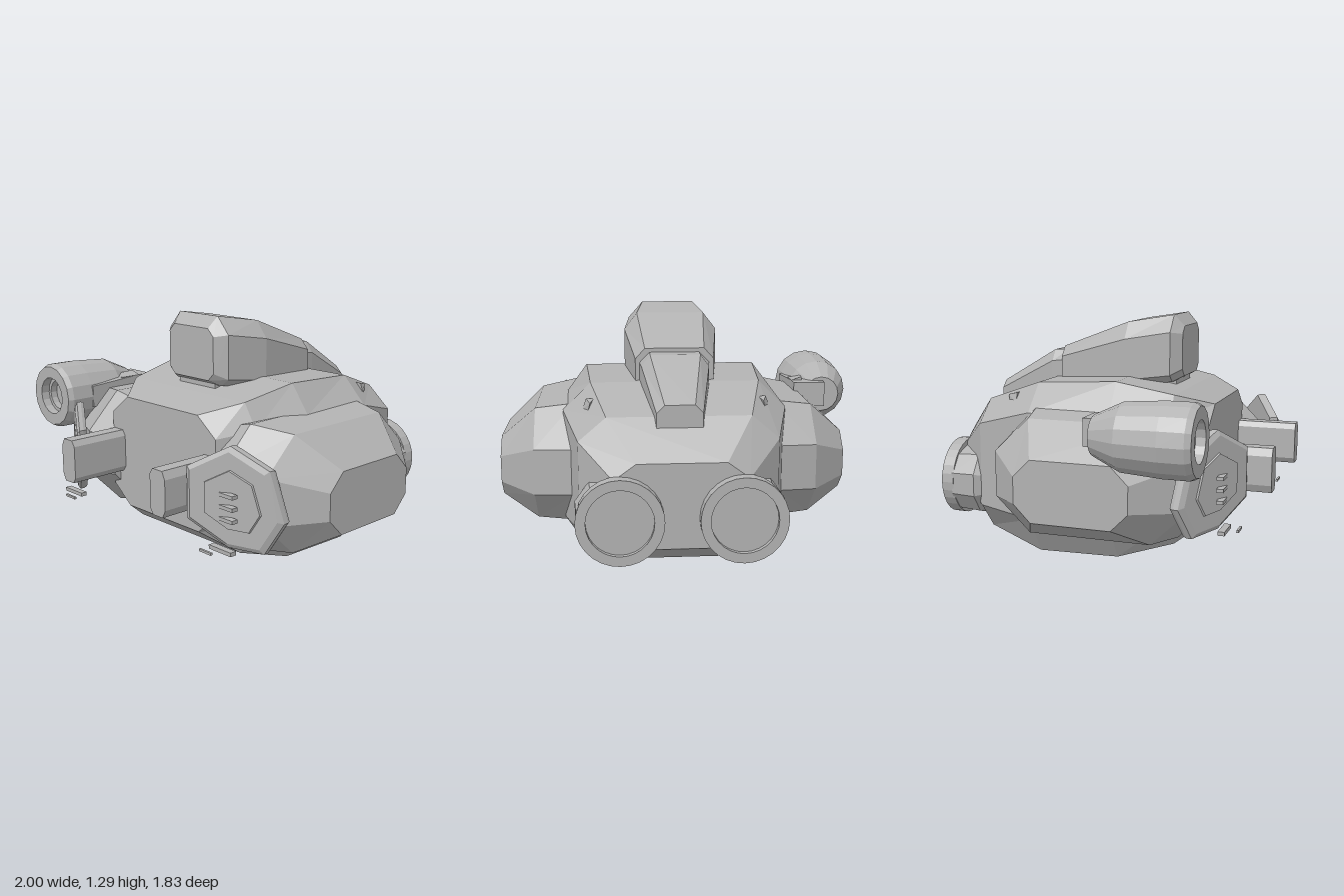
import * as THREE from 'three';

const hull = new THREE.MeshStandardMaterial({ color: 0xb2b2b2 });
hull.name = 'hullGrey';

// Faceted mesh whose closed surface always faces outward
function facet(name, geometry) {
  const g = geometry.index ? geometry.toNonIndexed() : geometry;
  const p = g.attributes.position;
  const a = new THREE.Vector3(), b = new THREE.Vector3(), c = new THREE.Vector3();
  let volume = 0;
  for (let i = 0; i < p.count; i += 3) {
    a.fromBufferAttribute(p, i);
    b.fromBufferAttribute(p, i + 1);
    c.fromBufferAttribute(p, i + 2);
    volume += a.dot(b.cross(c));
  }
  if (volume < 0) {
    for (let i = 0; i < p.count; i += 3) {
      b.fromBufferAttribute(p, i + 1);
      c.fromBufferAttribute(p, i + 2);
      p.setXYZ(i + 1, c.x, c.y, c.z);
      p.setXYZ(i + 2, b.x, b.y, b.z);
    }
  }
  g.computeVertexNormals();
  const mesh = new THREE.Mesh(g, hull);
  mesh.name = name;
  return mesh;
}

// Closed skin through rings of equally many [x, y, z] points
function loft(name, rings) {
  const n = rings[0].length, index = [];
  for (let r = 0; r < rings.length - 1; r++) {
    for (let i = 0; i < n; i++) {
      const a = r * n + i, b = r * n + (i + 1) % n;
      index.push(a, b, b + n, a, b + n, a + n);
    }
  }
  const last = (rings.length - 1) * n;
  for (let i = 1; i < n - 1; i++) {
    index.push(0, i + 1, i, last, last + i, last + i + 1);
  }
  const g = new THREE.BufferGeometry();
  g.setAttribute('position', new THREE.Float32BufferAttribute(rings.flat(2), 3));
  g.setIndex(index);
  return facet(name, g);
}

// Symmetrical octagon across z: flat widths, outer width, bottom, shoulders, top
const octagon = ([z, low, wide, top, y0, y1, y2, y3]) => [
  [-low, y0, z], [low, y0, z], [wide, y1, z], [wide, y2, z],
  [top, y3, z], [-top, y3, z], [-wide, y2, z], [-wide, y1, z],
];

// Turned part along z; profile is a closed list of [radius, z]
function turned(name, profile, sides) {
  const g = new THREE.LatheGeometry(profile.map(([r, z]) => new THREE.Vector2(r, z)), sides);
  return facet(name, g.rotateX(Math.PI / 2));
}

function box(name, w, h, d, x, y, z) {
  const m = facet(name, new THREE.BoxGeometry(w, h, d));
  m.position.set(x, y, z);
  return m;
}

function makeSide(s) {
  const side = new THREE.Group();
  side.name = s > 0 ? 'leftSide' : 'rightSide';

  // Bulging side pod: x, back, front, bottom, top, corner cuts in z and y
  const podRings = [
    [0.36, -0.48, 0.62, 0.22, 0.78, 0.18, 0.18],
    [0.53, -0.52, 0.66, 0.18, 0.82, 0.2, 0.2],
    [0.735, -0.47, 0.56, 0.19, 0.79, 0.19, 0.18],
    [0.925, -0.28, 0.32, 0.3, 0.62, 0.09, 0.09],
  ].map(([x, z0, z1, y0, y1, cz, cy]) => [
    [z0 + cz, y0], [z1 - cz, y0], [z1, y0 + cy], [z1, y1 - cy],
    [z1 - cz, y1], [z0 + cz, y1], [z0, y1 - cy], [z0, y0 + cy],
  ].map(([z, y]) => [s * x, y, z]));
  side.add(loft('sidePod', podRings));

  // Angled shield with bevelled rim and raised inner panel
  const outline = [[0.615, 0.77], [0.775, 0.66], [0.835, 0.41], [0.755, 0.25],
    [0.605, 0.27], [0.435, 0.4], [0.435, 0.66]];
  const plate = (scale, offset) => outline.map(([x, y]) => {
    const px = 0.635 + (x - 0.635) * scale, py = 0.5 + (y - 0.5) * scale;
    return [s * px, py, 0.815 - 0.62 * (px - 0.415) + offset];
  });
  side.add(loft('shield', [plate(0.97, -0.06), plate(1, -0.04), plate(1, -0.015), plate(0.9, 0)]));
  side.add(loft('shieldPanel', [plate(0.6, -0.01), plate(0.57, 0.008)]));
  for (const y of [0.42, 0.48, 0.54]) {
    side.add(box('shieldSlat', 0.09, 0.018, 0.035, s * 0.63, y, 0.705));
  }
  side.add(box('lowerTab', 0.082, 0.012, 0.012, s * 0.555, 0.26, 0.78));
  side.add(box('lowerBracket', 0.15, 0.02, 0.035, s * 0.6, 0.265, 0.715));

  // Forward prong with cut corners
  const prong = (z) => [[0.31, 0.45], [0.33, 0.42], [0.4, 0.42], [0.42, 0.46],
    [0.42, 0.61], [0.4, 0.65], [0.33, 0.65], [0.31, 0.62]].map(([x, y]) => [s * x, y, z]);
  side.add(loft('frontProng', [prong(0.5), prong(0.91)]));

  // Rear thruster: faceted housing and rimmed disc
  const housing = turned('thrusterHousing',
    [[0, -0.86], [0.19, -0.86], [0.2, -0.72], [0.13, -0.62], [0, -0.55]], 10);
  housing.position.set(s * 0.33, 0.35, 0);
  const nozzle = turned('thrusterNozzle',
    [[0, -0.895], [0.165, -0.895], [0.165, -0.92], [0.215, -0.92], [0.215, -0.85], [0, -0.85]], 28);
  nozzle.position.set(s * 0.3, 0.355, 0);
  side.add(housing, nozzle);

  // Small wedge on the rear shoulder
  side.add(loft('shoulderWedge', [
    [[0.42, 0.82, -0.47], [0.48, 0.82, -0.47], [0.45, 0.82, -0.52]],
    [[0.42, 0.875, -0.47], [0.46, 0.875, -0.47], [0.44, 0.86, -0.53]],
  ].map((ring) => ring.map(([x, y, z]) => [s * x, y, z]))));
  return side;
}

export function createModel() {
  const model = new THREE.Group();
  model.name = 'armouredCraft';
  const core = new THREE.Group();
  core.name = 'core';
  core.position.x = 0.075;
  model.add(core);

  // Main body
  core.add(loft('body', [
    [0.58, 0.28, 0.41, 0.28, 0.23, 0.33, 0.74, 0.84],
    [0.4, 0.4, 0.51, 0.43, 0.1, 0.25, 0.77, 0.9],
    [0.1, 0.45, 0.58, 0.47, 0.01, 0.21, 0.81, 0.96],
    [-0.35, 0.45, 0.585, 0.44, 0, 0.21, 0.79, 0.935],
    [-0.68, 0.37, 0.5, 0.36, 0.09, 0.24, 0.7, 0.82],
    [-0.86, 0.22, 0.33, 0.22, 0.2, 0.3, 0.55, 0.63],
  ].map(octagon)));

  // Raised top housing with its narrow tail
  core.add(loft('topHousing', [
    [0.37, 0.13, 0.17, 0.13, 0.96, 1.0, 1.19, 1.23],
    [0.315, 0.17, 0.225, 0.145, 0.93, 0.97, 1.2, 1.29],
    [0.07, 0.2, 0.255, 0.185, 0.9, 0.94, 1.16, 1.25],
    [-0.315, 0.18, 0.205, 0.155, 0.88, 0.9, 1.05, 1.105],
  ].map(octagon)));
  core.add(box('housingNeck', 0.28, 0.08, 0.3, 0, 0.95, 0.18));
  core.add(loft('housingTail', [
    [-0.3, 0.185, 0.185, 0.13, 0.85, 0.88, 1.03, 1.085],
    [-0.385, 0.175, 0.175, 0.13, 0.85, 0.88, 1.02, 1.08],
    [-0.725, 0.115, 0.115, 0.075, 0.75, 0.77, 0.845, 0.885],
  ].map(octagon)));

  core.add(makeSide(1), makeSide(-1));

  // Cannon on the right shoulder only
  const cannon = turned('shoulderCannon', [
    [0, 0.14], [0.1, 0.14], [0.17, 0.29], [0.185, 0.5], [0.185, 0.63], [0.17, 0.66],
    [0.105, 0.66], [0.105, 0.61], [0.085, 0.61], [0.085, 0.57], [0, 0.57],
  ], 16);
  cannon.position.set(-0.815, 0.76, 0);
  model.add(cannon);
  model.add(box('cannonMount', 0.18, 0.14, 0.2, -0.73, 0.77, 0.18));
  model.add(loft('cannonBrace', [
    [[-0.7, 0.68, 0.16], [-0.64, 0.68, 0.16], [-0.64, 0.84, 0.16], [-0.7, 0.86, 0.16]],
    [[-0.72, 0.7, 0.5], [-0.63, 0.7, 0.5], [-0.63, 0.82, 0.5], [-0.72, 0.84, 0.5]],
  ]));
  return model;
}
